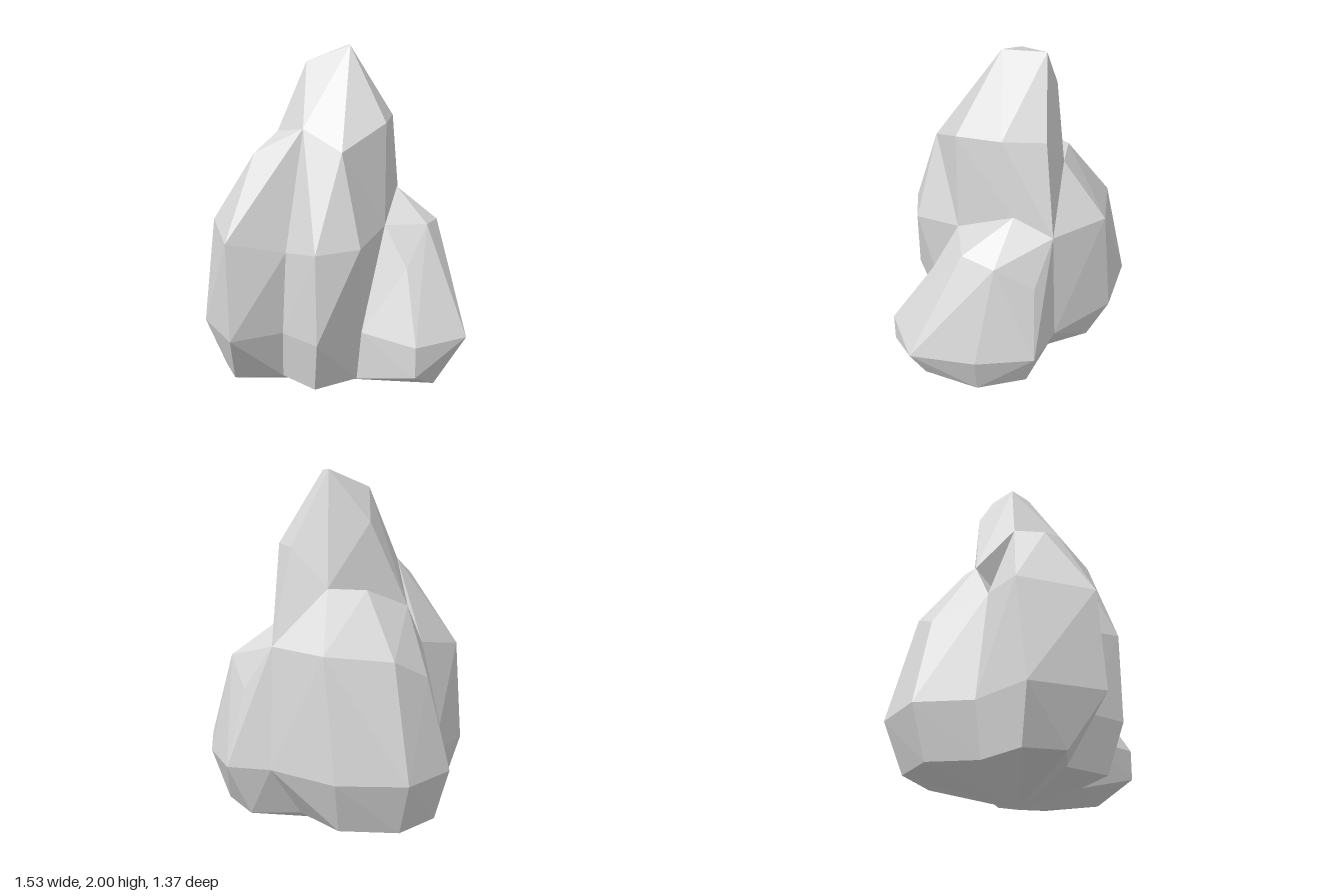
import * as THREE from 'three';
import { ConvexGeometry } from 'three/addons/geometries/ConvexGeometry.js';

// Faceted rock: convex lobes that meet along shared creases around a vertical axis.
const foot = [-0.07, 0, -0.07];
const core = [-0.07, 1.15, -0.07];

// Creases between neighbouring lobes, from the ground up
const frontCrease = [[-0.11, 0.14, 0.33], [-0.05, 0.43, 0.39], [-0.02, 0.9, 0.39], [-0.04, 1.56, 0.22]];
const rightCrease = [[0.24, 0.14, 0.09], [0.28, 0.43, 0.1]];
const backCrease = [[-0.03, 0.14, -0.41], [0.03, 0.43, -0.6], [0.04, 1.09, -0.56]];
const leftCrease = [[-0.5, 0.14, 0.13], [-0.56, 0.43, 0.15], [-0.48, 1.06, 0.13]];

// Corners where the side lobe leans on the peak
const sideNotch = [0.3, 1.02, -0.08];
const sideTop = [[0.47, 0.8, -0.06], [0.44, 1.01, -0.29], [0.16, 1.18, -0.38]];

const lobes = {
  frontRightLobe: [
    foot, core, ...frontCrease, ...rightCrease, sideNotch,
    [0.16, 0.14, 0.36], [0.23, 0.43, 0.42], [0.22, 0.93, 0.42],
    [0.365, 0.95, 0.22], [0.22, 1.45, 0.2],
  ],
  frontLeftLobe: [
    foot, core, ...frontCrease, ...leftCrease,
    [-0.3, 0.14, 0.53], [-0.49, 0.14, 0.42],
    [-0.17, 0.43, 0.68], [-0.55, 0.43, 0.52],
    [-0.21, 0.97, 0.66], [-0.55, 1.02, 0.43],
    [-0.28, 1.42, 0.36], [-0.31, 1.52, 0.14],
  ],
  sideLobe: [
    foot, ...rightCrease, ...backCrease, ...sideTop,
    [0.61, 0.14, -0.14], [0.46, 0.14, -0.43], [0.2, 0.14, -0.56],
    [0.65, 0.26, 0.1], [0.65, 0.43, 0.1], [0.765, 0.43, -0.22],
    [0.53, 0.43, -0.5], [0.26, 0.43, -0.685],
    [0.38, 1, -0.48], [0.2, 0.85, -0.6],
  ],
  sideLobeShoulder: [core, sideNotch, ...rightCrease, ...sideTop],
  backLobe: [
    foot, core, ...leftCrease, ...backCrease,
    [-0.68, 0.14, -0.08], [-0.62, 0.14, -0.36], [-0.34, 0.14, -0.51],
    [-0.77, 0.43, -0.09], [-0.71, 0.43, -0.43], [-0.39, 0.43, -0.62],
    [-0.65, 0.93, -0.13], [-0.58, 1.04, -0.36], [-0.31, 1.08, -0.6],
    [-0.46, 1.28, -0.01], [-0.35, 1.38, -0.25], [-0.19, 1.39, -0.38],
  ],
  peak: [
    [-0.07, 0.5, -0.07],
    [0.02, 2, -0.11], [-0.13, 2, -0.28], [-0.21, 1.91, 0], [-0.32, 1.73, -0.17],
    [0.3, 1.59, -0.08], [0.22, 1.45, 0.2], [-0.04, 1.56, 0.22], [-0.31, 1.52, 0.14],
    [0.18, 1.61, -0.3], [0, 1.6, -0.44], [-0.19, 1.39, -0.38], [-0.46, 1.28, -0.01],
    sideNotch, [0.16, 1.18, -0.38], [0.04, 1.09, -0.56],
  ],
};

export function createModel() {
  const model = new THREE.Group();
  model.name = 'rock';
  const stone = new THREE.MeshStandardMaterial({ color: 0xdadada });
  stone.name = 'pale grey stone';

  for (const [name, points] of Object.entries(lobes)) {
    const geometry = new ConvexGeometry(points.map((p) => new THREE.Vector3(...p)));
    const mesh = new THREE.Mesh(geometry, stone);
    mesh.name = name;
    model.add(mesh);
  }
  return model;
}
